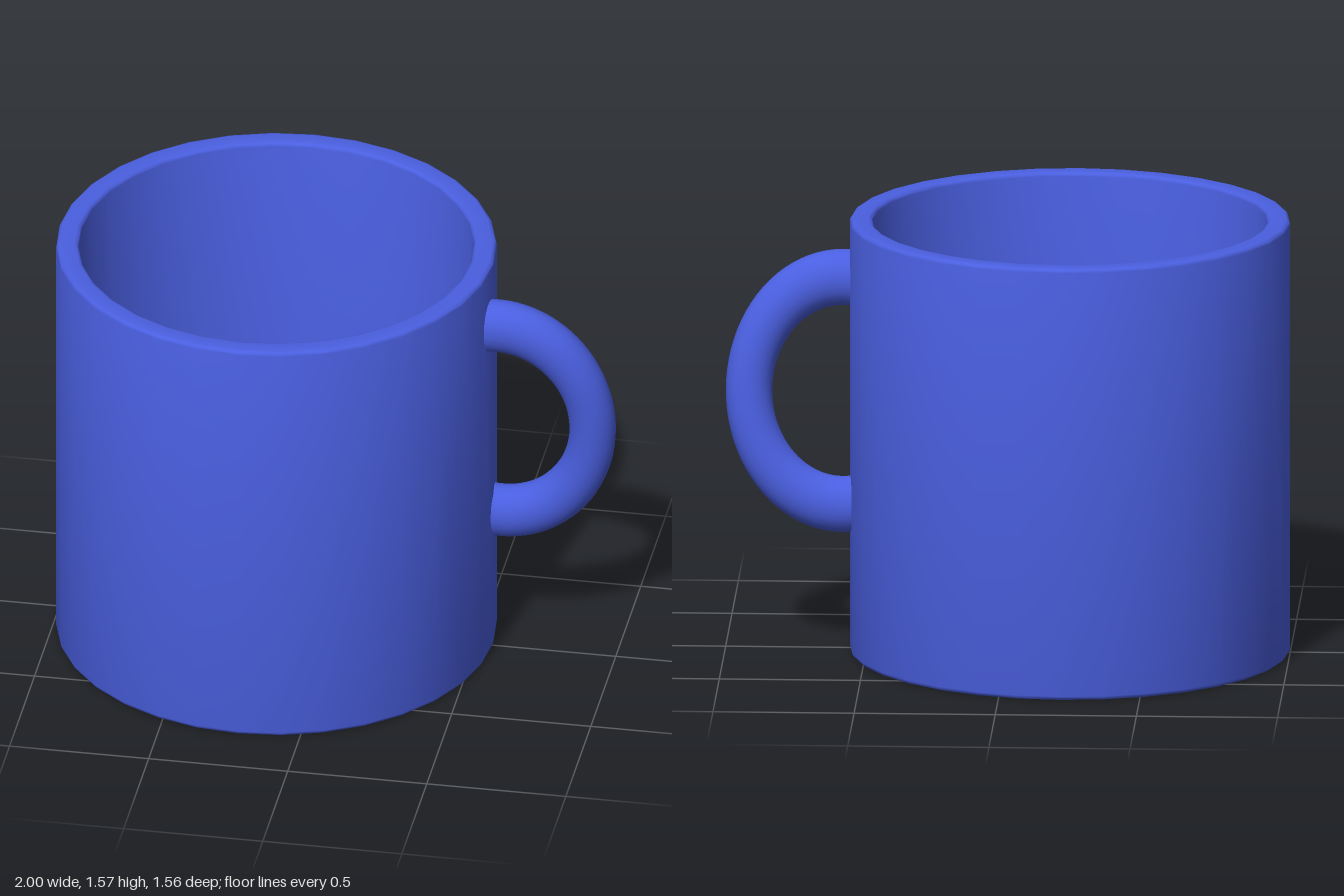
import * as THREE from 'three';
import { toCreasedNormals } from 'three/addons/utils/BufferGeometryUtils.js';

const HEIGHT = 1.57, OUTER = 0.78, INNER = 0.70, FLOOR = 0.08;
const BODY_X = -0.22;

// Quarter-round corner points around (cx, cy), from angle a to b in degrees
function corner(cx, cy, r, a, b, steps = 3) {
  return Array.from({ length: steps + 1 }, (_, i) => {
    const t = THREE.MathUtils.degToRad(a + ((b - a) * i) / steps);
    return new THREE.Vector2(cx + r * Math.cos(t), cy + r * Math.sin(t));
  });
}

export function createModel() {
  const mug = new THREE.Group();
  mug.name = 'mug';
  const material = new THREE.MeshStandardMaterial({ color: 0x4a5fe0 });

  // Cup: recessed base, outer wall, rounded rim, inner wall and floor
  const b = 0.015;
  const profile = [
    new THREE.Vector2(0, 0.03),
    new THREE.Vector2(0.73, 0.03),
    new THREE.Vector2(0.73, 0),
    ...corner(OUTER - b, b, b, -90, 0),
    ...corner(OUTER - b, HEIGHT - b, b, 0, 90),
    ...corner(INNER + b, HEIGHT - b, b, 90, 180),
    new THREE.Vector2(INNER, FLOOR),
    new THREE.Vector2(0, FLOOR),
  ];
  const cup = new THREE.Mesh(
    toCreasedNormals(new THREE.LatheGeometry(profile, 32), 0.6), material);
  cup.name = 'cup';
  cup.position.x = BODY_X;
  mug.add(cup);

  // Handle: flattened ring, slightly tilted, with both ends sunk into the wall
  const arc = Math.PI + 0.4;
  const ring = new THREE.TorusGeometry(0.405, 0.1, 24, 48, arc);
  ring.rotateZ(-arc / 2).scale(0.825, 1, 0.8).rotateX(0.11);
  const handle = new THREE.Mesh(ring, material);
  handle.name = 'handle';
  handle.position.set(0.583, 0.935, 0);
  mug.add(handle);

  return mug;
}
